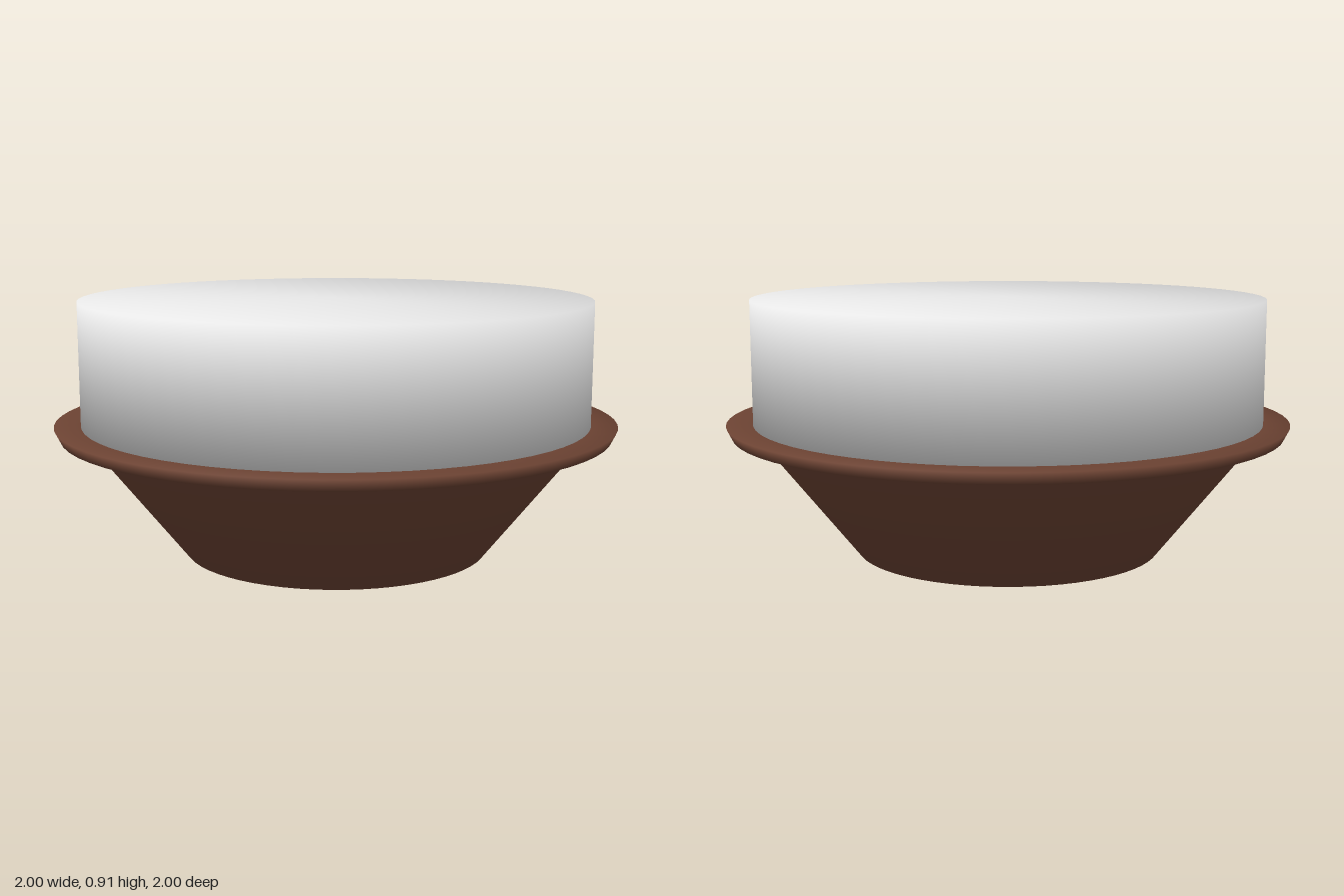
import * as THREE from 'three';

const SEGMENTS = 64;

// Revolves a closed profile, listed from the bottom axis point to the top one
function turned(name, profile, material) {
  const points = profile.map(([r, y]) => new THREE.Vector2(r, y));
  const mesh = new THREE.Mesh(new THREE.LatheGeometry(points, SEGMENTS), material);
  mesh.name = name;
  return mesh;
}

export function createModel() {
  const brown = new THREE.MeshStandardMaterial({ color: 0x6b4232 });
  brown.name = 'brown';
  const white = new THREE.MeshStandardMaterial({ color: 0xe8e8e8 });
  white.name = 'white';

  const model = new THREE.Group();
  model.name = 'ceilingLamp';

  // Tapered base with a thin flared rim
  model.add(turned('base', [
    [0, 0], [0.545, 0], [0.89, 0.435], [0.98, 0.435], [1, 0.475], [0.9, 0.475], [0, 0.475],
  ], brown));

  // Flat drum standing on the rim
  model.add(turned('drum', [
    [0, 0.47], [0.907, 0.47], [0.907, 0.91], [0, 0.91],
  ], white));

  return model;
}
